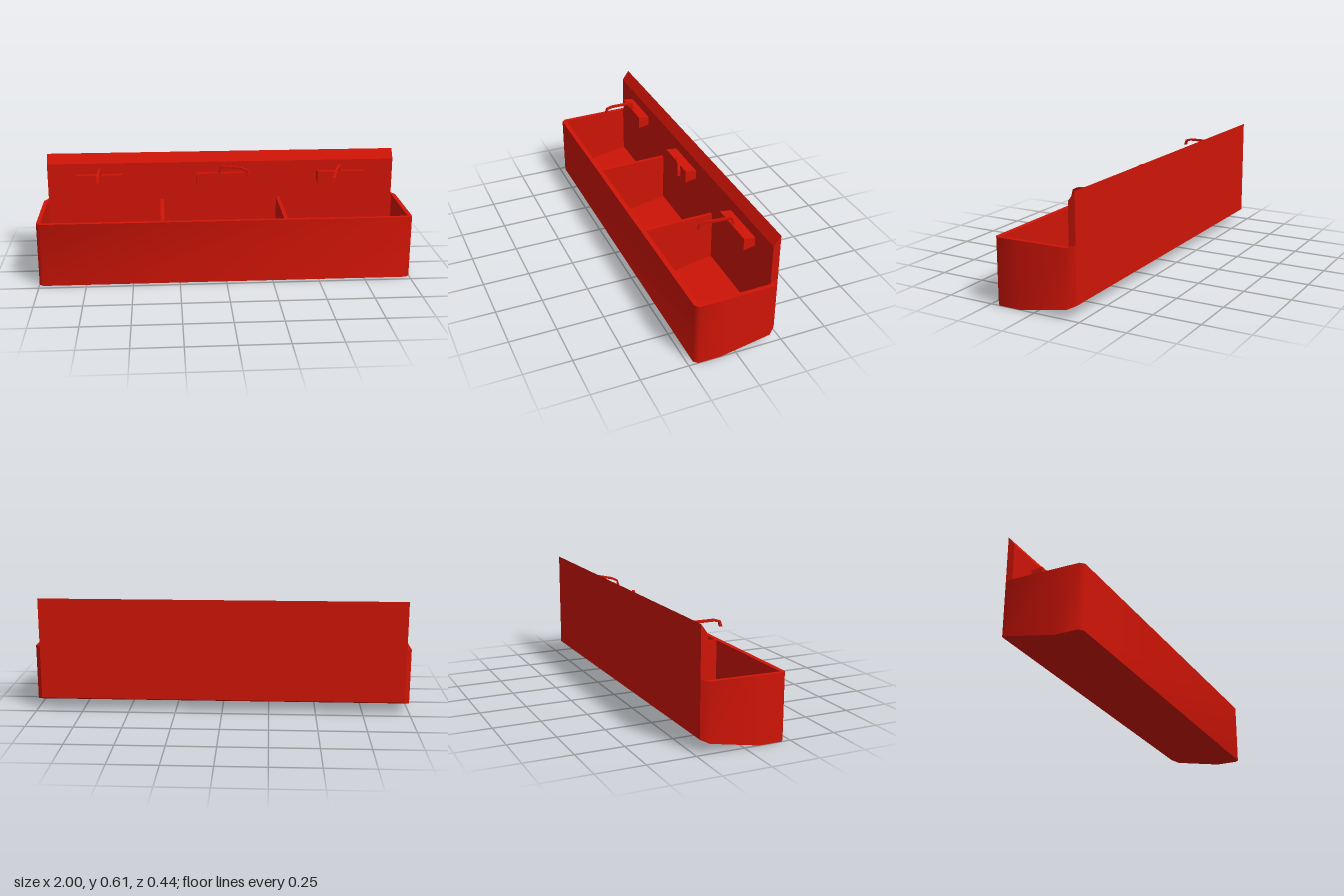
import * as THREE from 'three';
import { mergeGeometries, toCreasedNormals } from 'three/addons/utils/BufferGeometryUtils.js';

const red = new THREE.MeshStandardMaterial({ color: 0xd01406 });

// Height as a function of z, from [z, y] points ordered front to back
const slope = (pts) => (z) => {
  let i = 0;
  while (i < pts.length - 2 && z < pts[i + 1][0]) i++;
  const [[z0, y0], [z1, y1]] = [pts[i], pts[i + 1]];
  return y0 + ((y1 - y0) * (z - z0)) / (z1 - z0);
};
const rimY = slope([[0.22, 0.343], [-0.183, 0.348], [-0.22, 0.355]]);
const underY = slope([[0.22, 0], [0.08, 0], [-0.183, 0.05], [-0.22, 0.066]]);
const floorY = (z) => underY(z) + 0.03;

// Band of quads between two polylines of [x, y, z] points
function ribbon(a, b) {
  const pos = [];
  for (let i = 0; i < a.length - 1; i++) {
    pos.push(...a[i], ...a[i + 1], ...b[i + 1], ...a[i], ...b[i + 1], ...b[i]);
  }
  const g = new THREE.BufferGeometry();
  g.setAttribute('position', new THREE.Float32BufferAttribute(pos, 3));
  return g;
}
const lift = (pts, height) => pts.map(([x, z]) => [x, height(z), z]);
const wall = (pts, low, high) => {
  const loop = [...pts, pts[0]];
  return ribbon(lift(loop, low), lift(loop, high));
};

function mesh(name, geometry) {
  const m = new THREE.Mesh(geometry, red);
  m.name = name;
  return m;
}

// Extrude a [z, y] side profile along x, centred on x = 0
function sideExtrude(profile, width) {
  const shape = new THREE.Shape(profile.map(([z, y]) => new THREE.Vector2(-z, y)));
  return new THREE.ExtrudeGeometry(shape, { depth: width, bevelEnabled: false })
    .translate(0, 0, -width / 2)
    .rotateY(Math.PI / 2);
}

function trough() {
  // Half outline, [x, z] front to back, with clipped corners
  const right = [[0.98, 0.22], [1, 0.2], [1, 0.08], [1, -0.183], [0.972, -0.22]];
  const left = right.map(([x, z]) => [-x, z]);
  const outline = [...right, ...[...left].reverse()];
  const parts = [wall(outline, underY, rimY), ribbon(lift(left, underY), lift(right, underY))];

  // Three open basins with sloping floors
  const rim = new THREE.Shape(outline.map(([x, z]) => new THREE.Vector2(x, -z)));
  for (const [x0, x1] of [[-0.978, -0.347], [-0.327, 0.31], [0.33, 0.977]]) {
    const stations = [-0.183, 0.08, 0.195];
    const west = stations.map((z) => [x0, z]);
    const east = stations.map((z) => [x1, z]);
    const basin = [...west].reverse().concat(east);
    parts.push(wall(basin, floorY, rimY));
    parts.push(ribbon(lift(west, floorY), lift(east, floorY)));
    rim.holes.push(new THREE.Path(basin.map(([x, z]) => new THREE.Vector2(x, -z))));
  }

  // Rim and dividers' top
  const top = new THREE.ShapeGeometry(rim).rotateX(-Math.PI / 2).toNonIndexed();
  const p = top.attributes.position;
  for (let i = 0; i < p.count; i++) p.setY(i, rimY(p.getZ(i)));
  top.deleteAttribute('uv');
  top.deleteAttribute('normal');
  parts.push(top);
  return mesh('trough', toCreasedNormals(mergeGeometries(parts), 0.9));
}

// Flat-sided bent spout, profile as [distance from pivot, height]
const spoutProfile = [
  [-0.006, 0.5], [0.003, 0.54], [0.012, 0.55], [0.135, 0.55], [0.168, 0.54], [0.178, 0.51],
  [0.164, 0.51], [0.159, 0.532], [0.133, 0.538], [0.02, 0.538], [0.014, 0.531], [0.008, 0.5],
];
function spout(name, x, turn, droop) {
  const m = mesh(name, sideExtrude(spoutProfile.map(([s, y]) => [s, y - droop * s]), 0.014));
  m.position.set(x, 0, -0.135);
  m.rotation.y = turn;
  return m;
}

export function createModel() {
  const model = new THREE.Group();
  model.name = 'washTrough';
  model.add(trough());

  // Splashback with slanted top
  model.add(mesh('splashback', sideExtrude(
    [[-0.183, 0.348], [-0.22, 0.348], [-0.22, 0.612], [-0.183, 0.56]], 1.944)));

  // Taps: wall block and swivelled spout
  const taps = [
    ['right', -0.68, -0.68, 0, 0],
    ['middle', -0.012, -0.018, 1.195, 0],
    ['left', 0.667, 0.66, -0.35, 0.175],
  ];
  for (const [side, blockX, spoutX, turn, droop] of taps) {
    const tap = new THREE.Group();
    tap.name = side + 'Tap';
    const block = mesh(side + 'TapBlock', sideExtrude(
      [[-0.122, 0.44], [-0.184, 0.453], [-0.184, 0.5], [-0.122, 0.508]], 0.262));
    block.position.x = blockX;
    tap.add(block, spout(side + 'Spout', spoutX, turn, droop));
    model.add(tap);
  }
  return model;
}
